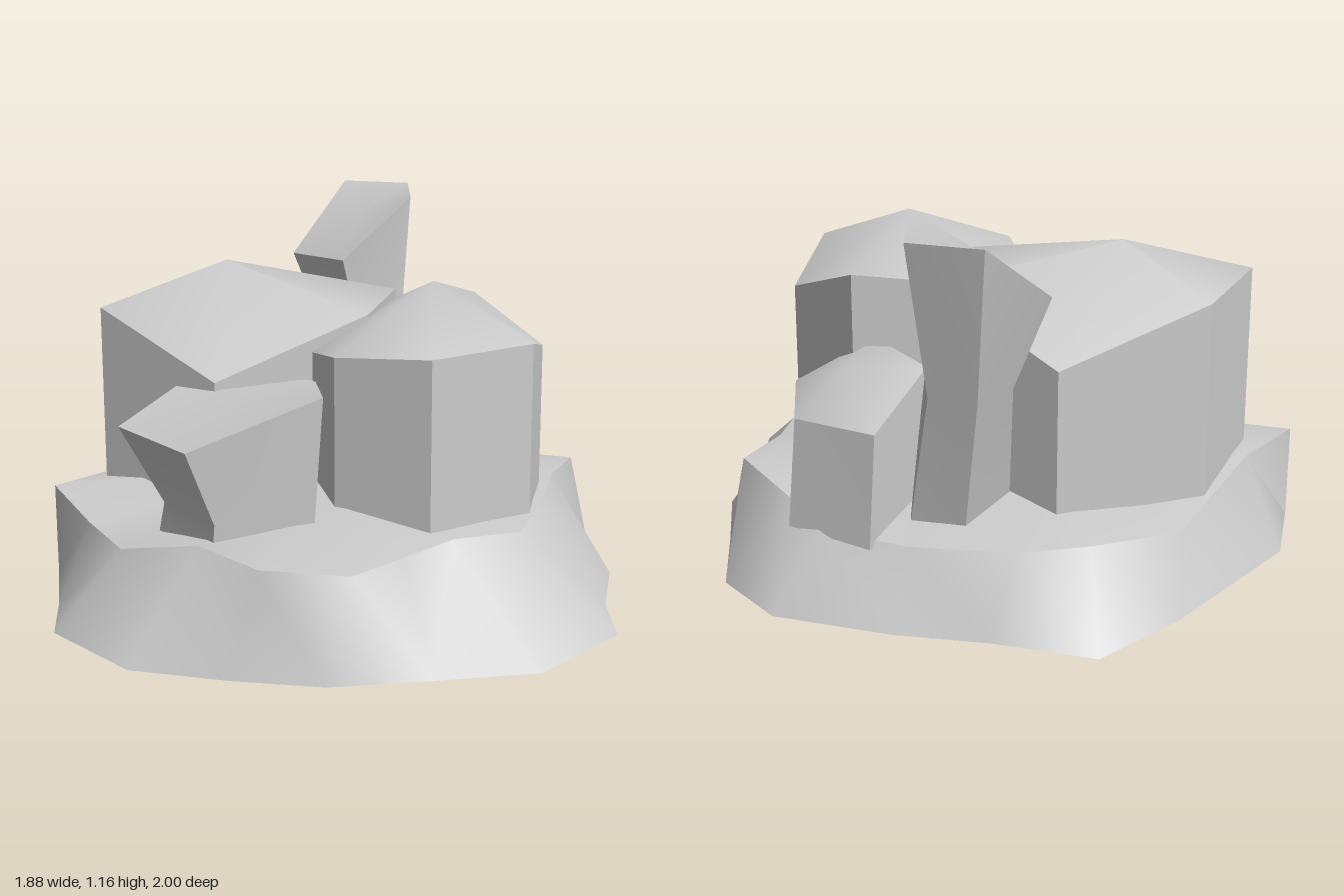
import * as THREE from 'three';
import { toCreasedNormals } from 'three/addons/utils/BufferGeometryUtils.js';

const distance = (a, b) => Math.hypot(a[0] - b[0], a[1] - b[1], a[2] - b[2]);

function surface(name, points, index, crease) {
  const geometry = new THREE.BufferGeometry();
  geometry.setAttribute('position', new THREE.Float32BufferAttribute(points.flat(), 3));
  geometry.setIndex(index);
  const material = new THREE.MeshStandardMaterial({ color: 0xcccccc, side: THREE.DoubleSide });
  const mesh = new THREE.Mesh(toCreasedNormals(geometry, crease), material);
  mesh.name = name;
  return mesh;
}

// Walls through rings of [x, y, z] points (clockwise from above, bottom to top),
// closed above by a smooth fan to the peak and open below.
function rock(name, rings, peak, crease) {
  const n = rings[0].length;
  const points = rings.flat();
  const walls = [];
  const fan = [];
  for (let i = 0; i < n; i++) {
    const j = (i + 1) % n;
    for (let r = 0; r < points.length - n; r += n) {
      const [a, b, c, d] = [r + i, r + n + i, r + n + j, r + j];
      // split each quad along its shorter diagonal
      if (distance(points[a], points[c]) <= distance(points[b], points[d])) {
        walls.push(a, b, c, a, c, d);
      } else {
        walls.push(a, b, d, b, c, d);
      }
    }
    fan.push(n, j, i);
  }
  const group = new THREE.Group();
  group.name = name;
  group.add(surface(name + 'Walls', points, walls, crease));
  group.add(surface(name + 'Top', [...rings.at(-1), peak], fan, 1.2));
  return group;
}

// A stone column: rim points, peak, and lower rings given as
// [height, x scale, z scale, x shift, z shift] about the peak.
function column(name, rim, peak, lower) {
  const [cx, , cz] = peak;
  const rings = lower.map(([y, sx, sz, dx = 0, dz = 0]) =>
    rim.map(([x, , z]) => [cx + dx + (x - cx) * sx, y, cz + dz + (z - cz) * sz]));
  return rock(name, [...rings, rim], peak, 0.6);
}

export function createModel() {
  const model = new THREE.Group();
  model.name = 'rockFormation';

  // Hollow mound: each row is foot x, z, then rim x, y, z
  const mound = [
    [0, -1, -0.02, 0.22, -0.81], [0.26, -0.94, 0.15, 0.26, -0.77],
    [0.46, -0.73, 0.39, 0.3, -0.72], [0.66, -0.53, 0.43, 0.3, -0.52],
    [0.79, -0.27, 0.56, 0.31, -0.25], [0.94, -0.08, 0.64, 0.295, 0.01],
    [0.9, 0.3, 0.52, 0.3, 0.2], [0.68, 0.53, 0.49, 0.3, 0.42],
    [0.46, 0.75, 0.46, 0.3, 0.63], [0.21, 0.88, 0.21, 0.3, 0.75],
    [-0.08, 1, -0.06, 0.3, 0.7], [-0.45, 0.93, -0.35, 0.235, 0.73],
    [-0.6, 0.76, -0.6, 0.235, 0.61], [-0.81, 0.55, -0.81, 0.3, 0.55],
    [-0.94, 0.3, -0.8, 0.29, 0.3], [-0.94, -0.27, -0.87, 0.225, -0.17],
    [-0.89, -0.6, -0.74, 0.24, -0.43], [-0.6, -0.72, -0.6, 0.24, -0.6],
    [-0.35, -0.86, -0.3, 0.22, -0.74],
  ];
  model.add(rock('mound', [
    mound.map(([x, z]) => [x, 0, z]),
    mound.map(([, , x, y, z]) => [x, y, z]),
  ], [-0.05, 0.39, 0], 1));

  // Two large upright columns
  model.add(column('wideColumn', [
    [-0.57, 0.72, -0.38], [-0.11, 0.885, -0.38], [0.04, 0.885, -0.02],
    [-0.26, 0.7, 0.38], [-0.74, 0.875, 0.38], [-0.82, 0.87, 0.03],
  ], [-0.5, 1.005, 0.03], [[0.25, 1, 1]]));
  model.add(column('roundColumn', [
    [0.14, 0.89, -0.48], [0.45, 0.77, -0.41], [0.585, 0.85, -0.13], [0.45, 0.85, 0.22],
    [0.14, 0.825, 0.29], [-0.06, 0.78, 0.14], [-0.07, 0.87, -0.32],
  ], [0.22, 1, -0.12], [[0.22, 1, 1]]));

  // Small front boulder, narrowing towards its foot
  model.add(column('frontBoulder', [
    [-0.05, 0.69, 0.14], [0.19, 0.735, 0.41], [-0.06, 0.6, 0.75],
    [-0.42, 0.595, 0.65], [-0.42, 0.685, 0.3],
  ], [-0.12, 0.67, 0.42], [[0.2, 0.8, 0.74, 0.03], [0.36, 0.74, 0.74, 0.05]]));

  // Tall waisted pillar with a slanted top, leaning outwards
  model.add(column('tallPillar', [
    [-0.56, 1.165, -0.7], [-0.35, 1.165, -0.79], [-0.17, 1.165, -0.55],
    [-0.27, 0.975, -0.3], [-0.56, 0.95, -0.4],
  ], [-0.38, 1.09, -0.54], [[0.2, 0.76, 0.7, 0.14, 0.08], [0.67, 0.68, 0.54, 0.03]]));

  // Low back boulder, slightly wider at its foot
  model.add(column('backBoulder', [
    [-0.2, 0.55, -0.76], [0.09, 0.535, -0.79], [0.31, 0.53, -0.56],
    [0.14, 0.66, -0.38], [-0.15, 0.66, -0.47],
  ], [0.04, 0.665, -0.61], [[0.2, 1.02, 1.1, 0, -0.02]]));

  return model;
}
